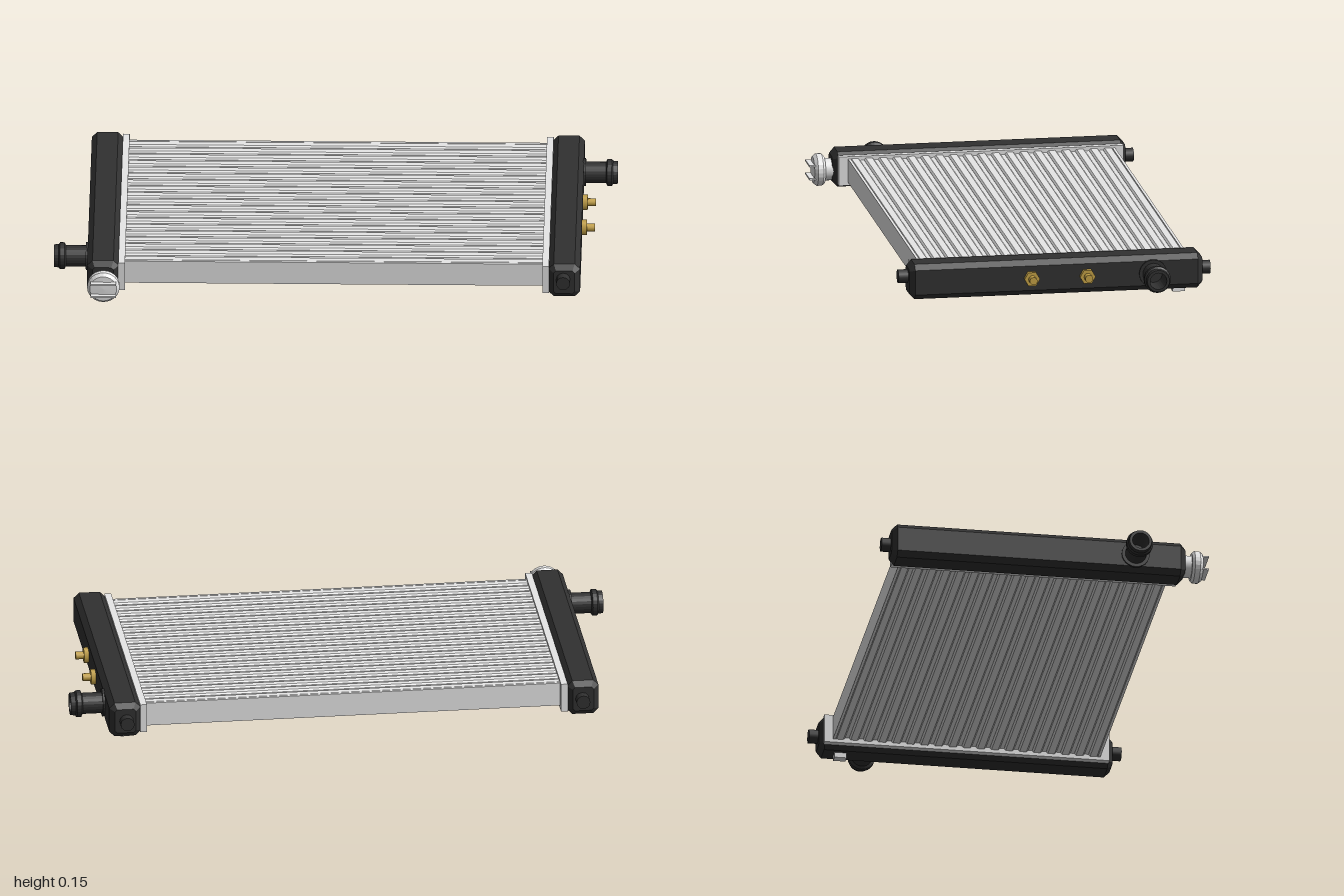
import * as THREE from 'three';

const mat = (name, color) => Object.assign(new THREE.MeshStandardMaterial({ color }), { name });

export function createModel() {
  const black = mat('black plastic', 0x313131);
  const alloy = mat('aluminium', 0xe8e8e8);
  const brass = mat('brass', 0xc6a347);
  const root = new THREE.Group();
  root.name = 'radiator';
  const MID = 0.083;

  const add = (parent, name, geometry, material, x = 0, y = 0, z = 0) => {
    const mesh = new THREE.Mesh(geometry, material);
    mesh.name = name;
    mesh.position.set(x, y, z);
    parent.add(mesh);
    return mesh;
  };
  const group = (name, x, y, z) => {
    const g = new THREE.Group();
    g.name = name;
    g.position.set(x, y, z);
    root.add(g);
    return g;
  };
  const box = (w, h, d) => new THREE.BoxGeometry(w, h, d);

  // Rectangle with cut corners
  const cutRect = (w, h, c) => new THREE.Shape([
    [-w + c, -h], [w - c, -h], [w, -h + c], [w, h - c],
    [w - c, h], [-w + c, h], [-w, h - c], [-w, -h + c],
  ].map(([x, y]) => new THREE.Vector2(x, y)));

  // Turned part along +y with hard edges between profile points
  const turned = (points, sides) => {
    const geometry = new THREE.LatheGeometry(points.map(([r, y]) => new THREE.Vector2(r, y)), sides).toNonIndexed();
    geometry.computeVertexNormals();
    return geometry;
  };

  // Flat tubes with finned strips in the gaps
  const Z0 = -0.511, Z1 = 0.455, COUNT = 19, pitch = (Z1 - Z0) / COUNT;
  const core = group('core', 0, MID + 0.004, 0);
  const tubeGeo = new THREE.ExtrudeGeometry(cutRect(0.018, 0.043, 0.006), { depth: 1.49, bevelEnabled: false });
  tubeGeo.translate(0, 0, -0.745).rotateY(Math.PI / 2);
  const finGeo = box(1.49, 0.072, pitch - 0.034);
  for (let i = 0; i < COUNT; i++) {
    const z = Z0 + pitch * (i + 0.5);
    add(core, 'tube', tubeGeo, alloy, 0, 0, z);
    if (i) add(core, 'finStrip', finGeo, alloy, 0, 0, z - pitch / 2);
  }
  for (const z of [Z0 + 0.005, Z1 - 0.005]) add(core, 'sidePlate', box(1.49, 0.086, 0.01), alloy, 0, 0, z);

  // End tanks with header plates
  const c = 0.019;
  const tankGeo = new THREE.ExtrudeGeometry(cutRect(0.0565 - c, 0.064 - c, 0.008), {
    depth: 1.06 - 2 * c, bevelEnabled: true, bevelSegments: 1, bevelSize: c, bevelThickness: c,
  });
  tankGeo.translate(0, 0, -(1.06 - 2 * c) / 2);
  const pinGeo = new THREE.CylinderGeometry(0.025, 0.025, 0.05, 12).rotateX(Math.PI / 2);
  for (const s of [-1, 1]) {
    add(root, 'tank', tankGeo, black, s * 0.8225, MID, -0.025);
    add(root, 'headerPlate', box(0.024, 0.106, 1.03), alloy, s * 0.756, MID + 0.002, -0.027);
    add(root, 'backMountPin', pinGeo, black, s * 0.819, MID, -0.563);
  }
  add(root, 'frontMountPin', pinGeo, black, 0.819, MID + 0.012, 0.515);

  // Hose connections with a retaining bead and hollow mouth
  const hoseGeo = turned([
    [0.05, 0], [0.05, 0.01], [0.038, 0.01], [0.038, 0.081], [0.048, 0.086],
    [0.048, 0.102], [0.042, 0.107], [0.04, 0.124], [0.03, 0.124], [0.03, 0.02], [0, 0.02],
  ], 24);
  add(root, 'outletHosePipe', hoseGeo, black, 0.876, MID, -0.373).rotation.z = -Math.PI / 2;
  add(root, 'inletHosePipe', hoseGeo, black, -0.876, MID, 0.322).rotation.z = Math.PI / 2;

  // Brass sensors on the left tank
  for (const z of [0.066, -0.135]) {
    const sensor = group('sensor', 0.876, MID, z);
    sensor.rotation.z = -Math.PI / 2;
    add(sensor, 'sensorNut', new THREE.CylinderGeometry(0.028, 0.028, 0.02, 6), brass, 0, 0.01, 0);
    add(sensor, 'sensorStud', new THREE.CylinderGeometry(0.014, 0.014, 0.03, 12), brass, 0, 0.034, 0);
  }

  // Filler neck and cap with grip ribs
  const cap = group('fillerCap', -0.82, 0.076, 0.502);
  cap.rotation.x = Math.PI / 2;
  add(cap, 'fillerNeck', new THREE.CylinderGeometry(0.04, 0.04, 0.05, 24), alloy, 0, 0.015, 0);
  add(cap, 'capBody', turned([
    [0, 0.028], [0.05, 0.028], [0.058, 0.037], [0.058, 0.056], [0.048, 0.068], [0, 0.07],
  ], 24), alloy);
  for (const s of [-1, 1]) add(cap, 'gripRib', box(0.09, 0.028, 0.006), alloy, 0, 0.073, s * 0.024);

  // Drain plug under the left tank
  add(root, 'drainPlug', box(0.032, 0.024, 0.044), alloy, 0.817, 0.012, -0.474);

  return root;
}
